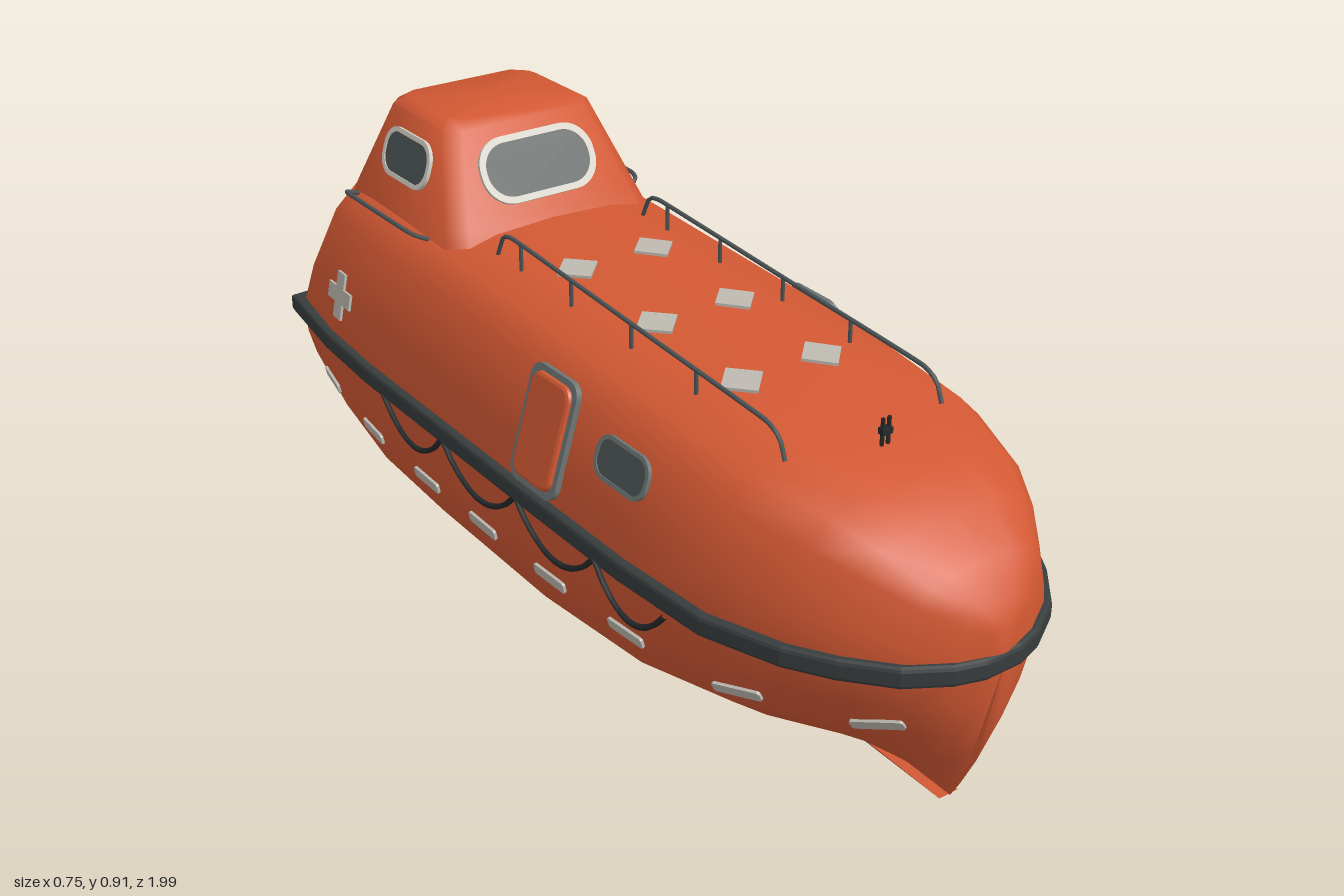
import * as THREE from 'three';
import { toCreasedNormals } from 'three/addons/utils/BufferGeometryUtils.js';

const V = (x, y, z) => new THREE.Vector3(x, y, z);
const mat = (name, color, side = THREE.FrontSide) => {
  const m = new THREE.MeshStandardMaterial({ color, side });
  m.name = name;
  return m;
};

// Skin over matching closed rings, with a fan cap at each end
function loft(rings, firstCentre, lastCentre, crease) {
  const n = rings[0].length, pos = [], idx = [];
  rings.flat().concat(firstCentre, lastCentre).forEach(p => pos.push(p.x, p.y, p.z));
  const c0 = rings.length * n, last = c0 - n;
  for (let j = 0; j < n; j++) {
    const k = (j + 1) % n;
    for (let i = 0; i < rings.length - 1; i++) {
      const a = i * n + j, b = i * n + k, c = b + n, d = a + n;
      idx.push(a, d, c, a, c, b);
    }
    idx.push(c0, j, k, c0 + 1, last + k, last + j);
  }
  const g = new THREE.BufferGeometry();
  g.setAttribute('position', new THREE.Float32BufferAttribute(pos, 3));
  g.setIndex(idx);
  return toCreasedNormals(g, crease);
}

// Rounded rectangle centred on the origin
function roundRect(w, h, r, T = THREE.Shape) {
  const s = new T(), x = w / 2, y = h / 2;
  s.moveTo(x, -y + r);
  s.absarc(x - r, y - r, r, 0, Math.PI / 2);
  s.absarc(-x + r, y - r, r, Math.PI / 2, Math.PI);
  s.absarc(-x + r, -y + r, r, Math.PI, Math.PI * 1.5);
  s.absarc(x - r, -y + r, r, Math.PI * 1.5, Math.PI * 2);
  return s;
}
const plate = (shape, depth, bevel = 0) => new THREE.ExtrudeGeometry(shape, {
  depth, curveSegments: 6, bevelEnabled: bevel > 0, bevelSize: bevel, bevelThickness: bevel, bevelSegments: 2 });
const tube = (pts, r, seg = 40) => new THREE.TubeGeometry(
  new THREE.CatmullRomCurve3(pts, false, 'catmullrom', 0.2), seg, r, 6);

// Stations: z, half width at rail, top height, bow vee, stern lift
const STATIONS = [
  [0.992, 0.03, 0.44, 1, 0], [0.975, 0.085, 0.475, 1, 0], [0.93, 0.16, 0.53, 1, 0], [0.85, 0.23, 0.585, 0.9, 0],
  [0.77, 0.28, 0.62, 0.75, 0], [0.62, 0.335, 0.65, 0.45, 0], [0.4, 0.352, 0.67, 0.15, 0], [0.1, 0.355, 0.685, 0, 0],
  [-0.3, 0.355, 0.705, 0, 0], [-0.55, 0.355, 0.715, 0, 0.12], [-0.75, 0.345, 0.72, 0, 0.55], [-0.945, 0.315, 0.72, 0, 1]];
const MID = [[0, 0.03], [0.28, 0.04], [0.7, 0.075], [0.93, 0.14], [0.985, 0.25]];
const BOW = [[0, 0.03], [0.13, 0.065], [0.33, 0.13], [0.62, 0.21], [0.85, 0.29]];
const TOP = [[1, 0], [0.97, 0.33], [0.85, 0.75], [0.7, 0.93], [0.4, 0.985], [0, 1]];

function hullRing([z, w, top, vee, lift], i) {
  const half = MID.map(([f, y], k) => {
    const yy = y + (BOW[k][1] - y) * vee;
    return [w * (f + (BOW[k][0] - f) * vee), yy + lift * 0.15 * (1 - (yy - 0.03) / 0.34)];
  }).concat(TOP.map(([f, t]) => [w * f, 0.37 + t * (top - 0.37)]));
  const ring = half.concat(half.slice(1, -1).reverse().map(([x, y]) => [-x, y]));
  const stern = i === STATIONS.length - 1;
  return ring.map(([x, y]) => {
    let zz = z;
    if (y < 0.37) zz -= Math.max(0, (z - 0.5) / 0.5) * 0.09 * ((0.37 - y) / 0.34) ** 2;
    if (stern) zz += Math.max(0, y - 0.37) * 0.444 - 0.02 * (1 - (x / w) ** 2);
    return V(x, y, zz);
  });
}

export function createModel() {
  const root = new THREE.Group();
  root.name = 'lifeboat';
  const orange = mat('hull orange', 0xd25833), black = mat('fender dark grey', 0x373c3d),
    rope = mat('rope black', 0x25292a), steel = mat('rail grey', 0x4d5557), glass = mat('window glass', 0x4b5352),
    white = mat('window frame white', 0xd2cec3), tape = mat('reflective tape', 0xbcb8b0),
    trim = mat('door trim grey', 0x6d7674), propGrey = mat('propeller grey', 0x454b4c, THREE.DoubleSide);
  const add = (name, geo, m, parent = root) => {
    const mesh = new THREE.Mesh(geo, m);
    mesh.name = name;
    parent.add(mesh);
    return mesh;
  };

  // Hull and canopy
  const hull = add('hull', loft(STATIONS.map(hullRing), V(0, 0.37, 0.999), V(0, 0.37, -0.965), 0.75), orange);

  // Steering cabin: y, half width, front z, back z, corner cut
  const cabinRings = [[0.91, 0.15, -0.49, -0.715, 0.03], [0.895, 0.178, -0.467, -0.732, 0.03],
    [0.72, 0.235, -0.368, -0.808, 0.035], [0.65, 0.258, -0.325, -0.836, 0.04]].map(([y, x, f, b, c]) =>
    [[x, f - c], [x, b + c], [x - c, b], [c - x, b], [-x, b + c], [-x, f - c], [c - x, f], [x - c, f]]
      .map(([px, pz]) => V(px, y, pz)));
  const cabin = add('cabin', loft(cabinRings, V(0, 0.91, -0.6), V(0, 0.65, -0.58), 0.9), orange);

  // Keel fin, wider where it meets the hull
  const keel = [[0.9, 0.034, 0.03], [0.6, 0.012, 0.035], [0, 0.006, 0.04], [-0.55, 0.003, 0.07], [-0.89, 0, 0.19]]
    .map(([z, lo, hi]) => [[-0.006, lo], [0.006, lo], [0.022, hi], [-0.022, hi]].map(([x, y]) => V(x, y, z)));
  add('keel', loft(keel, V(0, 0.033, 0.9), V(0, 0.09, -0.885), 0.5), orange);

  // Fender round the widest line
  const side = STATIONS.map(([z, w]) => [w + 0.008, z]);
  side[side.length - 1] = [0.325, -0.965];
  const outline = [[0, 0.992], ...side, [0, -0.985], ...side.slice().reverse().map(([x, z]) => [-x, z])];
  const fenderShape = new THREE.Shape(outline.map(([x, z]) => new THREE.Vector2(x, -z)));
  fenderShape.holes.push(new THREE.Path(outline.map(([x, z]) => new THREE.Vector2(x * 0.93, -z * 0.96))));
  const fender = add('fender', plate(fenderShape, 0.026, 0.008), black);
  fender.rotation.x = -Math.PI / 2;
  fender.position.y = 0.357;

  // Rest a group on the shell where a ray meets it
  const ray = new THREE.Raycaster();
  const hit = (from, dir) => {
    ray.set(from, dir);
    const h = ray.intersectObjects([hull, cabin], false)[0];
    return h ? h.point : from.clone().addScaledVector(dir, 2);
  };
  const place = (name, from, dir, d = 0.03) => {
    const up = dir.y ? V(0, 0, -1) : V(0, 1, 0), right = dir.clone().cross(up);
    const span = v => hit(from.clone().addScaledVector(v, d), dir).sub(hit(from.clone().addScaledVector(v, -d), dir));
    const Y = span(up).normalize(), N = span(right).cross(Y).normalize(), X = Y.clone().cross(N);
    const g = new THREE.Group();
    g.name = name;
    g.position.copy(hit(from, dir));
    g.quaternion.setFromRotationMatrix(new THREE.Matrix4().makeBasis(X, Y, N));
    root.add(g);
    return g;
  };
  const framed = (g, w, h, r, border, frameMat, depth) => {
    const s = roundRect(w, h, r);
    s.holes.push(roundRect(w - 2 * border, h - 2 * border, r - border * 0.8, THREE.Path));
    add('frame', plate(s, depth), frameMat, g);
  };
  const window_ = (name, from, dir, w, h, r, border, frameMat = white) => {
    const g = place(name, from, dir);
    framed(g, w, h, r, border, frameMat, 0.008);
    add('glass', plate(roundRect(w - border, h - border, r - border / 2), 0.006), glass, g);
  };
  const hatch = (name, from, dir, w, h) => {
    const g = place(name, from, dir, 0.06);
    framed(g, w, h, 0.03, 0.014, trim, 0.012);
    add('panel', plate(roundRect(w - 0.04, h - 0.04, 0.02), 0.012, 0.008), orange, g);
  };

  window_('frontWindow', V(0, 0.808, 2), V(0, 0, -1), 0.275, 0.142, 0.065, 0.014);
  window_('rearWindow', V(0, 0.81, -2), V(0, 0, 1), 0.24, 0.115, 0.05, 0.012);
  hatch('rearHatch', V(0.09, 0.53, -2), V(0, 0, 1), 0.165, 0.245);

  // Flat signs
  const plus = new THREE.Shape([[1, 3], [1, 1], [3, 1], [3, -1], [1, -1], [1, -3], [-1, -3], [-1, -1], [-3, -1], [-3, 1], [-1, 1], [-1, 3]]
    .reverse().map(([x, y]) => new THREE.Vector2(x * 0.0175, y * 0.0175)));
  const diamond = new THREE.Shape([[0.048, 0], [0, 0.048], [-0.048, 0], [0, -0.048]].map(p => new THREE.Vector2(...p)));
  const stripes = [[0.86, 0.225], [0.64, 0.217], [0.38, 0.215], [0.14, 0.21], [-0.11, 0.203], [-0.34, 0.2], [-0.58, 0.21], [-0.81, 0.235]];

  for (const s of [1, -1]) {
    const tag = s > 0 ? 'left' : 'right', inward = V(-s, 0, 0);
    window_(tag + 'CabinWindow', V(2 * s, 0.81, -0.595), inward, 0.19, 0.105, 0.045, 0.01);
    window_(tag + 'HullWindow', V(2 * s, 0.545, 0.355), inward, 0.155, 0.085, 0.035, 0.008, trim);
    hatch(tag + 'Door', V(2 * s, 0.52, 0.125), inward, 0.15, 0.235);
    add('cross', plate(plus, 0.006), tape, place(tag + 'Cross', V(2 * s, 0.49, -0.7), inward));
    for (const [z, y] of stripes)
      add('stripe', plate(roundRect(0.1, 0.024, 0.006), 0.006), tape, place(tag + 'HullStripe', V(2 * s, y, z), inward, 0.02));
    for (const z of [-0.13, 0.14, 0.4])
      add('diamond', plate(diamond, 0.006), tape, place(tag + 'DeckSign', V(0.092 * s, 2, z), V(0, -1, 0)));

    // Long deck handrail with posts
    const x = 0.178 * s;
    add(tag + 'DeckRail', tube([V(x, 0.64, 0.63), V(x, 0.675, 0.615), V(x, 0.695, 0.57), V(x, 0.72, 0.18),
      V(x, 0.746, -0.22), V(x, 0.738, -0.265), V(x, 0.69, -0.29)], 0.0045, 60), steel);
    for (const z of [0.38, 0.18, -0.02, -0.2]) {
      const post = add(tag + 'RailPost', new THREE.CylinderGeometry(0.004, 0.004, 0.06, 6), steel);
      post.position.set(x, 0.7 - (z - 0.18) * 0.065 - 0.01, z);
    }

    // Grab rail beside the cabin
    add(tag + 'GrabRail', tube([V(0.245 * s, 0.685, -0.45), V(0.275 * s, 0.7, -0.455), V(0.285 * s, 0.706, -0.49),
      V(0.285 * s, 0.706, -0.72), V(0.275 * s, 0.7, -0.755), V(0.235 * s, 0.685, -0.76)], 0.005), steel);

    // Looped lifeline under the fender
    const knots = [0.55, 0.33, 0.06, -0.22, -0.47], line = [];
    knots.slice(1).forEach((b, i) => {
      for (let t = i ? 0.125 : 0; t <= 1; t += 0.125)
        line.push(V(0.367 * s, 0.358 - 0.29 * t * (1 - t), knots[i] + (b - knots[i]) * t));
    });
    add(tag + 'Lifeline', tube(line, 0.006, 96), rope);
  }

  // Handrail beside the rear hatch
  add('sternRail', tube([V(-0.05, 0.71, -0.8), V(-0.05, 0.71, -0.835), V(-0.05, 0.675, -0.862),
    V(-0.05, 0.46, -0.955), V(-0.05, 0.43, -0.93)], 0.0045), steel);

  // Twin-post bollards at bow and stern
  for (const [name, y, z] of [['bowBollard', 0.66, 0.68], ['sternBollard', 0.4, -0.98]]) {
    const g = new THREE.Group();
    g.name = name;
    g.position.set(0, y, z);
    root.add(g);
    for (const s of [1, -1])
      add('post', new THREE.CylinderGeometry(0.004, 0.004, 0.06, 6), rope, g).position.set(0.007 * s, 0, 0);
    add('bar', new THREE.BoxGeometry(0.022, 0.012, 0.014), rope, g).position.y = 0.005;
  }

  // Propeller on its shaft
  const prop = new THREE.Group();
  prop.name = 'propeller';
  prop.position.set(0, 0.083, -0.935);
  root.add(prop);
  add('shaft', new THREE.CylinderGeometry(0.01, 0.01, 0.08, 8), propGrey, prop).rotation.x = Math.PI / 2;
  prop.children[0].position.z = 0.03;
  add('hub', new THREE.CylinderGeometry(0.022, 0.014, 0.055, 10), propGrey, prop).rotation.x = Math.PI / 2;
  const blade = new THREE.Shape([[-0.01, 0.012], [0.01, 0.012], [0.028, 0.045], [0.018, 0.072], [-0.018, 0.072], [-0.028, 0.045]]
    .map(p => new THREE.Vector2(...p)));
  for (let i = 0; i < 3; i++) {
    const arm = new THREE.Group();
    arm.rotation.z = Math.PI * (1.13 + i * 2 / 3);
    prop.add(arm);
    add('blade', plate(blade, 0.005), propGrey, arm).rotation.y = 0.7;
  }
  return root;
}
